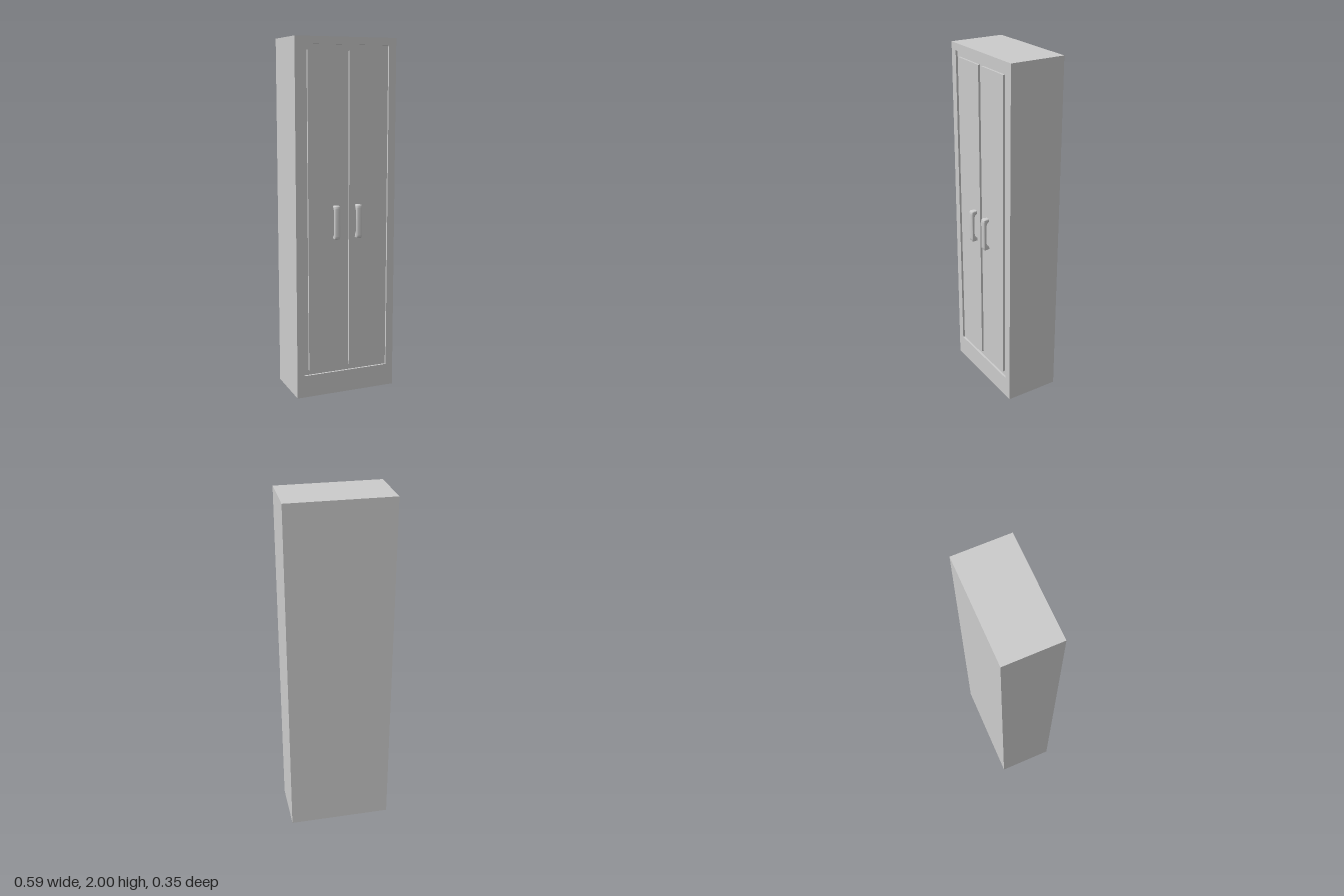
import * as THREE from 'three';
import { toCreasedNormals } from 'three/addons/utils/BufferGeometryUtils.js';

const W = 0.592, H = 2, BACK = -0.177, FRONT = 0.14, RECESS = 0.012;

function rectPoints(x0, y0, x1, y1) {
  return [[x0, y0], [x1, y0], [x1, y1], [x0, y1]].map(([x, y]) => new THREE.Vector2(x, y));
}

// Arched pull handle: side profile extruded across its width with rounded edges
function handleGeometry() {
  const z0 = 0.126, z1 = 0.175, half = 0.095, width = 0.033, bevel = 0.006;
  const s = new THREE.Shape();
  s.moveTo(z0, -half + 0.002);
  s.lineTo(z1 - 0.014, -half);
  s.quadraticCurveTo(z1, -half, z1, -half + 0.018);
  s.lineTo(z1, half - 0.018);
  s.quadraticCurveTo(z1, half, z1 - 0.014, half);
  s.lineTo(z0, half - 0.002);
  s.lineTo(z0, half - 0.022);
  s.lineTo(FRONT, half - 0.022);
  s.quadraticCurveTo(0.155, half - 0.026, 0.157, half - 0.055);
  s.lineTo(0.157, -half + 0.055);
  s.quadraticCurveTo(0.155, -half + 0.026, FRONT, -half + 0.022);
  s.lineTo(z0, -half + 0.022);
  s.closePath();
  const g = new THREE.ExtrudeGeometry(s, {
    depth: width - 2 * bevel, bevelEnabled: true, bevelThickness: bevel,
    bevelSize: bevel, bevelOffset: -bevel, bevelSegments: 4, curveSegments: 8,
  });
  g.translate(0, 0, -width / 2 + bevel);
  g.rotateY(-Math.PI / 2);
  // narrow the feet towards the door
  const p = g.attributes.position;
  for (let i = 0; i < p.count; i++) {
    const t = THREE.MathUtils.clamp((p.getZ(i) - FRONT) / 0.02, 0, 1);
    p.setX(i, p.getX(i) * (0.8 + 0.2 * t));
  }
  return toCreasedNormals(g, 0.8);
}

export function createModel() {
  const group = new THREE.Group();
  const mat = new THREE.MeshStandardMaterial({ color: 0xcccccc });
  const add = (name, geo, x = 0, y = 0, z = 0) => {
    const m = new THREE.Mesh(geo, mat);
    m.name = name;
    m.position.set(x, y, z);
    group.add(m);
  };

  // Cabinet body, up to the floor of the door recess
  const floor = FRONT - RECESS;
  add('cabinetBody', new THREE.BoxGeometry(W, H, floor - BACK), 0, H / 2, (floor + BACK) / 2);

  // Front frame around the recess
  const frame = new THREE.Shape(rectPoints(-W / 2, 0, W / 2, H));
  frame.holes.push(new THREE.Path(rectPoints(-0.253, 0.127, 0.253, 1.96)));
  add('frontFrame', new THREE.ExtrudeGeometry(frame, { depth: RECESS, bevelEnabled: false }), 0, 0, floor);

  // Pair of raised door panels, each with its handle
  const handle = handleGeometry();
  const panel = new THREE.BoxGeometry(0.208, 1.772, RECESS);
  for (const [side, s] of [['left', 1], ['right', -1]]) {
    add(side + 'DoorPanel', panel, s * 0.121, 1.043, floor + RECESS / 2);
    add(side + 'Handle', handle, s * 0.0655, 0.997, 0);
  }
  return group;
}
